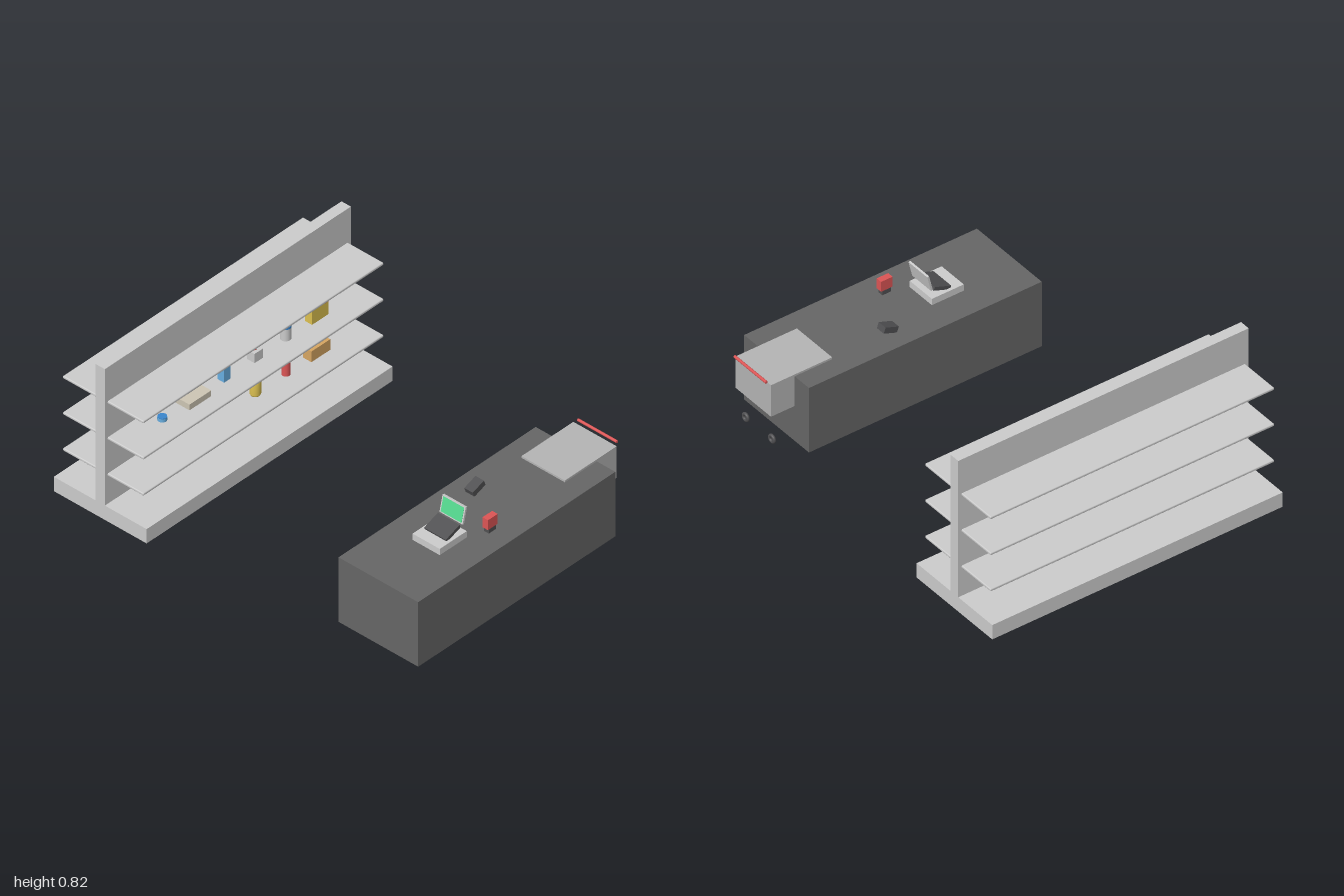
import * as THREE from 'three';
import { RoundedBoxGeometry } from 'three/addons/geometries/RoundedBoxGeometry.js';

const mats = {};
function mat(color) {
  if (!mats[color]) mats[color] = new THREE.MeshStandardMaterial({ color });
  return mats[color];
}

const GREY = 0xcccccc, DARK = 0x666666, BLACK = 0x505052, RED = 0xdc5555;
const BLUE = 0x68aee0, DEEP_BLUE = 0x3b86cc, YELLOW = 0xdcc050, GREEN = 0x55d98f, TAN = 0xd6a562;

export function createModel() {
  const model = new THREE.Group();

  const group = (name) => {
    const g = new THREE.Group();
    g.name = name;
    model.add(g);
    return g;
  };
  const add = (parent, name, geometry, color, x, y, z) => {
    const m = new THREE.Mesh(geometry, mat(color));
    m.name = name;
    m.position.set(x, y, z);
    parent.add(m);
    return m;
  };
  // Box given by its centre x and z, its underside y and its size
  const box = (parent, name, color, x, y, z, w, h, d) =>
    add(parent, name, new THREE.BoxGeometry(w, h, d), color, x, y + h / 2, z);
  // Upright cylinder standing on y
  const can = (parent, name, color, x, y, z, r, h) =>
    add(parent, name, new THREE.CylinderGeometry(r, r, h, 24), color, x, y + h / 2, z);

  // Double-sided shelf unit
  const shelving = group('shelfUnit');
  box(shelving, 'shelfBase', GREY, -0.727, 0, 0, 0.546, 0.078, 1.566);
  box(shelving, 'shelfBackPanel', GREY, -0.727, 0.07, 0, 0.055, 0.752, 1.566);
  for (const y of [0.236, 0.433, 0.63]) {
    add(shelving, 'shelf', new RoundedBoxGeometry(0.475, 0.014, 1.53, 2, 0.005), GREY, -0.727, y, 0);
  }

  // Goods on the middle shelf
  const X = -0.612, MID = 0.44, LOW = 0.243;
  const goods = group('shelfGoods');
  can(goods, 'tin', BLUE, X, MID, 0.512, 0.022, 0.016);
  can(goods, 'tinLid', DEEP_BLUE, X, MID + 0.016, 0.512, 0.021, 0.004);
  box(goods, 'eggTray', 0xcdc5b4, X, MID, 0.316, 0.085, 0.031, 0.138);

  // Carton with a gable roof
  box(goods, 'cartonBody', BLUE, X, MID, 0.12, 0.04, 0.078, 0.04);
  const gable = new THREE.Shape([[-0.02, 0], [0.02, 0], [0.004, 0.018], [0.004, 0.025], [-0.004, 0.025], [-0.004, 0.018]]
    .map(([x, y]) => new THREE.Vector2(x, y)));
  const roof = new THREE.ExtrudeGeometry(gable, { depth: 0.04, bevelEnabled: false });
  add(goods, 'cartonRoof', roof, 0xa8c4d8, X, MID + 0.078, 0.1);

  box(goods, 'sugarPack', 0xe2e2e0, X, MID, -0.077, 0.045, 0.05, 0.052);
  can(goods, 'sugarPackCap', RED, X, MID + 0.05, -0.077, 0.008, 0.009);
  can(goods, 'jar', 0xe0e0e0, X, MID, -0.273, 0.025, 0.063);
  can(goods, 'jarLid', DEEP_BLUE, X, MID + 0.063, -0.273, 0.026, 0.011);
  box(goods, 'cerealBox', YELLOW, X, MID, -0.47, 0.042, 0.123, 0.104);
  box(goods, 'cerealBoxBand', RED, X, MID + 0.072, -0.47, 0.045, 0.038, 0.106);

  // Goods on the lower shelf
  const profile = [[0, 0], [0.022, 0], [0.026, 0.008], [0.026, 0.068], [0.022, 0.08], [0.014, 0.09], [0.014, 0.107], [0, 0.107]]
    .map(([r, y]) => new THREE.Vector2(r, y));
  add(goods, 'bottle', new THREE.LatheGeometry(profile, 24), YELLOW, X, LOW, -0.08);
  can(goods, 'drinkCan', RED, X, LOW, -0.275, 0.02, 0.075);
  can(goods, 'drinkCanLid', GREY, X, LOW + 0.075, -0.275, 0.017, 0.004);
  box(goods, 'loaf', TAN, X, LOW, -0.47, 0.05, 0.058, 0.12);

  // Counter
  const counter = group('counter');
  box(counter, 'counterBody', DARK, 0.765, 0, 0, 0.468, 0.352, 1.255);

  // Cash register with sloping keys and leaning screen
  const till = group('cashRegister');
  box(till, 'registerBase', GREY, 0.762, 0.35, 0.234, 0.16, 0.036, 0.172);
  box(till, 'registerKeys', BLACK, 0.762, 0.394, 0.217, 0.128, 0.018, 0.094).rotation.x = 0.35;
  const screen = new THREE.Group();
  screen.name = 'registerScreen';
  screen.position.set(0.762, 0.463, 0.147);
  screen.rotation.x = -0.24;
  till.add(screen);
  box(screen, 'screenFrame', GREY, 0, -0.043, 0, 0.136, 0.086, 0.01);
  box(screen, 'screenPanel', GREEN, 0, -0.037, 0.005, 0.122, 0.074, 0.003);

  // Hand scanner and card terminal
  const devices = group('counterDevices');
  box(devices, 'scanner', BLACK, 0.645, 0.362, -0.117, 0.05, 0.03, 0.076).rotation.x = 0.35;
  box(devices, 'terminalBase', BLACK, 0.88, 0.35, 0.041, 0.028, 0.028, 0.046);
  box(devices, 'terminalBody', RED, 0.88, 0.376, 0.041, 0.032, 0.054, 0.062);

  // Shopping cart pushed against the counter end
  const cart = group('shoppingCart');
  box(cart, 'cartBasket', 0xb4b4b4, 0.762, 0.19, -0.59, 0.255, 0.172, 0.33);
  const handle = add(cart, 'cartHandle', new THREE.CylinderGeometry(0.007, 0.007, 0.23, 12), RED, 0.765, 0.374, -0.768);
  handle.rotation.z = Math.PI / 2;
  for (const x of [0.667, 0.857]) {
    for (const z of [-0.725, -0.455]) {
      add(cart, 'cartWheel', new THREE.TorusGeometry(0.016, 0.008, 10, 20), BLACK, x, 0.037, z);
    }
  }
  return model;
}
